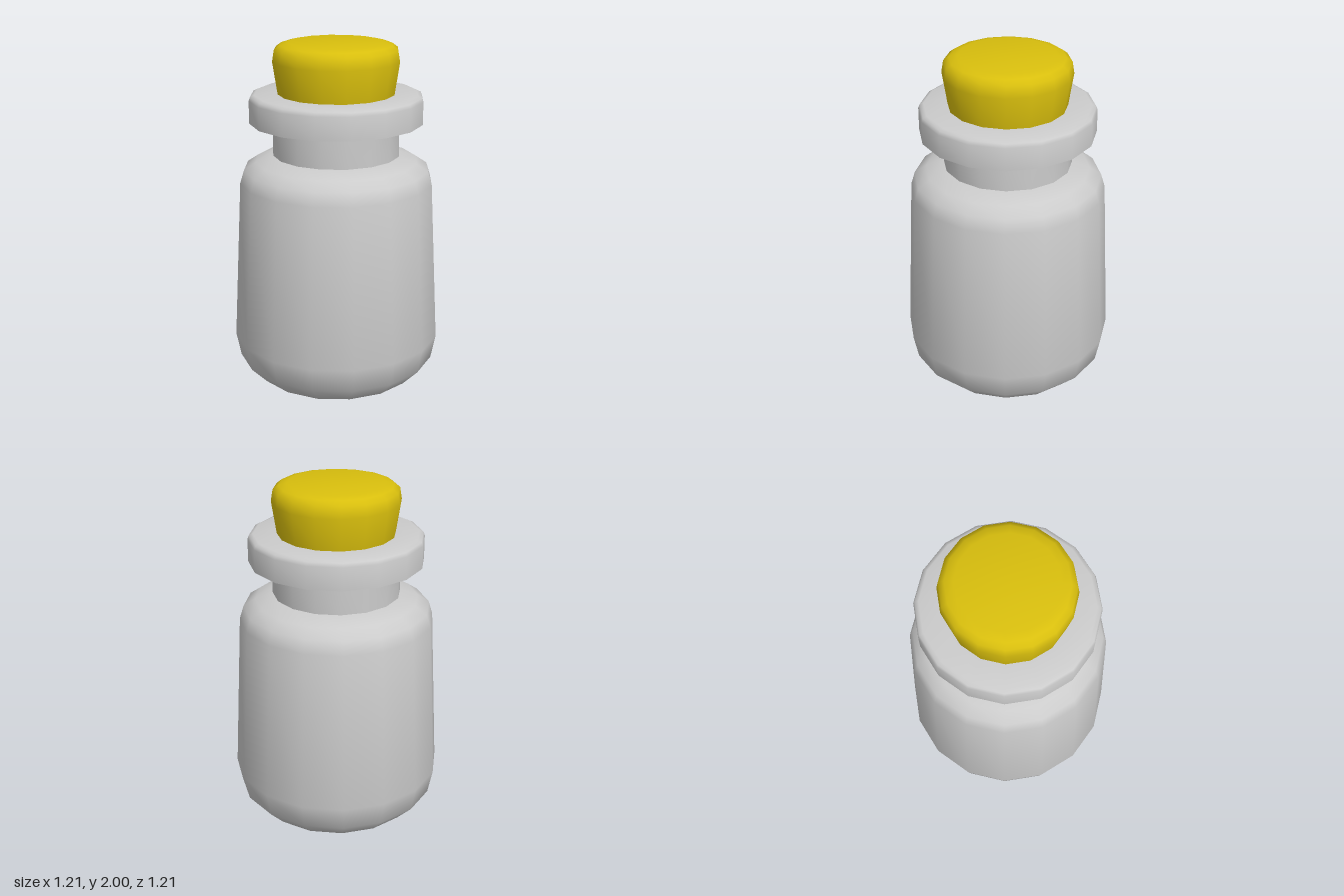
import * as THREE from 'three';
import { toCreasedNormals } from 'three/addons/utils/BufferGeometryUtils.js';

const SIDES = 16;
const CREASE = THREE.MathUtils.degToRad(50);

// Turns a [radius, height] profile, bottom to top, into a named part
function turned(name, profile, color) {
  const points = profile.map(([r, y]) => new THREE.Vector2(r, y));
  const geometry = toCreasedNormals(new THREE.LatheGeometry(points, SIDES), CREASE);
  const mesh = new THREE.Mesh(geometry, new THREE.MeshStandardMaterial({ color }));
  mesh.name = name;
  return mesh;
}

export function createModel() {
  const bottle = new THREE.Group();
  bottle.name = 'corkedBottle';

  // Rounded base, tapering wall and soft shoulder
  bottle.add(turned('body', [
    [0, 0], [0.34, 0.005], [0.48, 0.04], [0.577, 0.14], [0.605, 0.28],
    [0.555, 1.21], [0.532, 1.285], [0.465, 1.33], [0.363, 1.365], [0.34, 1.365],
  ], 0xcccccc));

  // Straight neck
  bottle.add(turned('neck', [[0.363, 1.36], [0.363, 1.56]], 0xcccccc));

  // Wide lip with a bevelled top edge, running in under the stopper
  bottle.add(turned('lip', [
    [0.33, 1.555], [0.495, 1.555], [0.495, 1.685], [0.487, 1.706],
    [0.465, 1.716], [0.28, 1.716],
  ], 0xcccccc));

  // Tapered stopper with a rounded top, reaching down into the neck
  bottle.add(turned('stopper', [
    [0, 1.6], [0.308, 1.6], [0.332, 1.716], [0.36, 1.9], [0.349, 1.965],
    [0.318, 1.988], [0.27, 2], [0, 2],
  ], 0xd9bf0d));

  return bottle;
}
